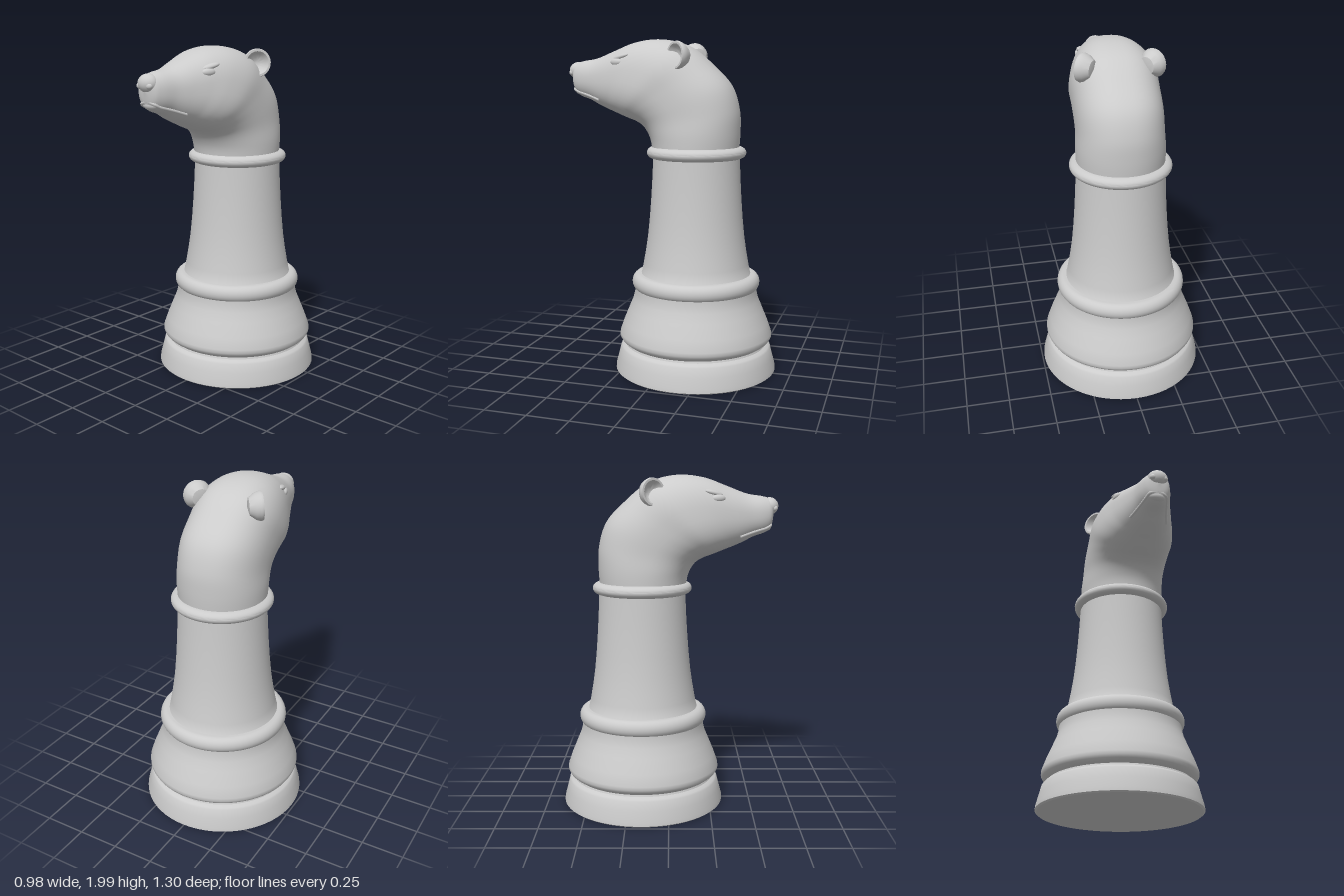
import * as THREE from 'three';
import { toCreasedNormals } from 'three/addons/utils/BufferGeometryUtils.js';

const AXIS_Z = -0.16; // the turned pedestal sits behind the centre
const grey = new THREE.MeshStandardMaterial({ color: 0xcccccc });
const greyDouble = new THREE.MeshStandardMaterial({ color: 0xcccccc, side: THREE.DoubleSide });

function add(parent, name, geometry, material = grey) {
  const mesh = new THREE.Mesh(geometry, material);
  mesh.name = name;
  parent.add(mesh);
  return mesh;
}

function lathe(profile, segments = 64) {
  const pts = profile.map(([r, y]) => new THREE.Vector2(r, y));
  return toCreasedNormals(new THREE.LatheGeometry(pts, segments), 0.6);
}

// Rounded bead: half ellipse bulging outwards from radius r
function bead(r, bulge, y, half) {
  const pts = [[r - 0.06, y - half]];
  for (let i = 0; i <= 12; i++) {
    const a = -Math.PI / 2 + (Math.PI * i) / 12;
    pts.push([r + bulge * Math.cos(a), y + half * Math.sin(a)]);
  }
  pts.push([r - 0.06, y + half]);
  return lathe(pts);
}

// Head sections from neck to muzzle: [back/top z, y, front/bottom z, y, half width]
const sections = [
  [-0.41, 1.30, 0.10, 1.30, 0.255],
  [-0.42, 1.45, 0.115, 1.41, 0.257],
  [-0.415, 1.58, 0.155, 1.48, 0.25],
  [-0.37, 1.72, 0.20, 1.51, 0.25],
  [-0.26, 1.84, 0.24, 1.525, 0.25],
  [-0.12, 1.95, 0.28, 1.54, 0.25],
  [0.04, 1.993, 0.33, 1.56, 0.225],
  [0.20, 1.98, 0.37, 1.575, 0.19],
  [0.34, 1.93, 0.43, 1.60, 0.152],
  [0.46, 1.885, 0.50, 1.635, 0.115],
  [0.56, 1.868, 0.57, 1.66, 0.088],
  [0.605, 1.85, 0.60, 1.685, 0.065],
  [0.62, 1.77, 0.62, 1.77, 0],
];
const topCurve = new THREE.CatmullRomCurve3(sections.map((s) => new THREE.Vector3(s[4], s[1], s[0])));
const lowCurve = new THREE.CatmullRomCurve3(sections.map((s) => new THREE.Vector3(s[4], s[3], s[2])));

// Point on the head: u runs neck to muzzle, a runs around from the crown
function headPoint(u, a) {
  const t = topCurve.getPoint(u), b = lowCurve.getPoint(u);
  const e = 2 / (2 + 0.4 * Math.sin(Math.PI * u)); // squarer in the middle
  const soft = (v) => Math.sign(v) * Math.abs(v) ** e;
  const k = (1 + soft(Math.cos(a))) / 2;
  return new THREE.Vector3(
    soft(Math.sin(a)) * Math.max(0, t.x),
    b.y + (t.y - b.y) * k,
    b.z + (t.z - b.z) * k,
  );
}

function headGeometry(rows = 72, cols = 56) {
  const pos = [], index = [];
  for (let i = 0; i <= rows; i++) {
    for (let j = 0; j < cols; j++) {
      pos.push(...headPoint(i / rows, (j / cols) * Math.PI * 2).toArray());
      if (i === rows) continue;
      const a = i * cols + j, b = i * cols + ((j + 1) % cols);
      index.push(a, a + cols, b, b, a + cols, b + cols);
    }
  }
  const g = new THREE.BufferGeometry();
  g.setAttribute('position', new THREE.Float32BufferAttribute(pos, 3));
  g.setIndex(index);
  g.computeVertexNormals();
  return g;
}

function ellipsoid(parent, name, x, y, z, rx, ry, rz) {
  const m = add(parent, name, new THREE.SphereGeometry(1, 24, 16));
  m.position.set(x, y, z);
  m.scale.set(rx, ry, rz);
  return m;
}

export function createModel() {
  const model = new THREE.Group();

  // Turned pedestal
  const pedestal = new THREE.Group();
  pedestal.name = 'pedestal';
  pedestal.position.z = AXIS_Z;
  model.add(pedestal);
  add(pedestal, 'foot', lathe([
    [0, 0], [0.48, 0], [0.49, 0.008], [0.488, 0.03], [0.472, 0.09], [0.458, 0.145],
    [0.45, 0.155], [0.43, 0.165], [0.425, 0.18],
  ]));
  add(pedestal, 'flaredBase', lathe([
    [0.425, 0.175], [0.44, 0.185], [0.455, 0.198], [0.464, 0.215], [0.463, 0.235],
    [0.44, 0.3], [0.405, 0.385], [0.382, 0.44], [0.372, 0.48], [0.37, 0.51],
  ]));
  add(pedestal, 'lowerBead', bead(0.345, 0.042, 0.548, 0.05));
  add(pedestal, 'column', lathe([
    [0.345, 0.58], [0.33, 0.6], [0.318, 0.66], [0.304, 0.74], [0.291, 0.83], [0.28, 0.94],
    [0.271, 1.06], [0.264, 1.18], [0.259, 1.3], [0.257, 1.35],
  ]));
  add(pedestal, 'collar', bead(0.25, 0.047, 1.33, 0.036));

  // Animal head
  const head = new THREE.Group();
  head.name = 'head';
  model.add(head);
  add(head, 'neckAndSkull', headGeometry());
  ellipsoid(head, 'nose', 0, 1.812, 0.592, 0.062, 0.052, 0.054);
  ellipsoid(head, 'chin', 0, 1.695, 0.572, 0.055, 0.03, 0.035);

  for (const side of [1, -1]) {
    const label = side > 0 ? 'left' : 'right';

    // Cupped ear, opening outwards and forwards
    const ear = add(head, label + 'Ear', lathe([
      [0, -0.06], [0.05, -0.05], [0.074, -0.015], [0.082, 0.012], [0.078, 0.026],
      [0.066, 0.026], [0.052, 0.008], [0.03, -0.012], [0, -0.018],
    ], 32), greyDouble);
    ear.position.set(side * 0.19, 1.895, -0.1);
    ear.quaternion.setFromUnitVectors(
      new THREE.Vector3(0, 1, 0), new THREE.Vector3(side * 0.8, 0.05, 0.6).normalize());

    // Eye and brow
    const eye = ellipsoid(head, label + 'Eye', side * 0.158, 1.86, 0.285, 0.02, 0.022, 0.042);
    eye.rotation.y = -side * 0.35;
    const brow = ellipsoid(head, label + 'Brow', side * 0.148, 1.89, 0.26, 0.024, 0.016, 0.06);
    brow.rotation.set(0.25, -side * 0.35, 0);

    // Lip line and nostril
    const lip = [0.66, 0.72, 0.78, 0.84, 0.9].map((u) => {
      const p = headPoint(u, Math.PI * 0.76);
      return new THREE.Vector3(side * p.x, p.y, p.z);
    });
    lip.push(new THREE.Vector3(0, 1.715, 0.602));
    add(head, label + 'Lip', new THREE.TubeGeometry(new THREE.CatmullRomCurve3(lip), 24, 0.009, 8));
    ellipsoid(head, label + 'Nostril', side * 0.034, 1.8, 0.62, 0.022, 0.018, 0.018);
  }
  return model;
}
